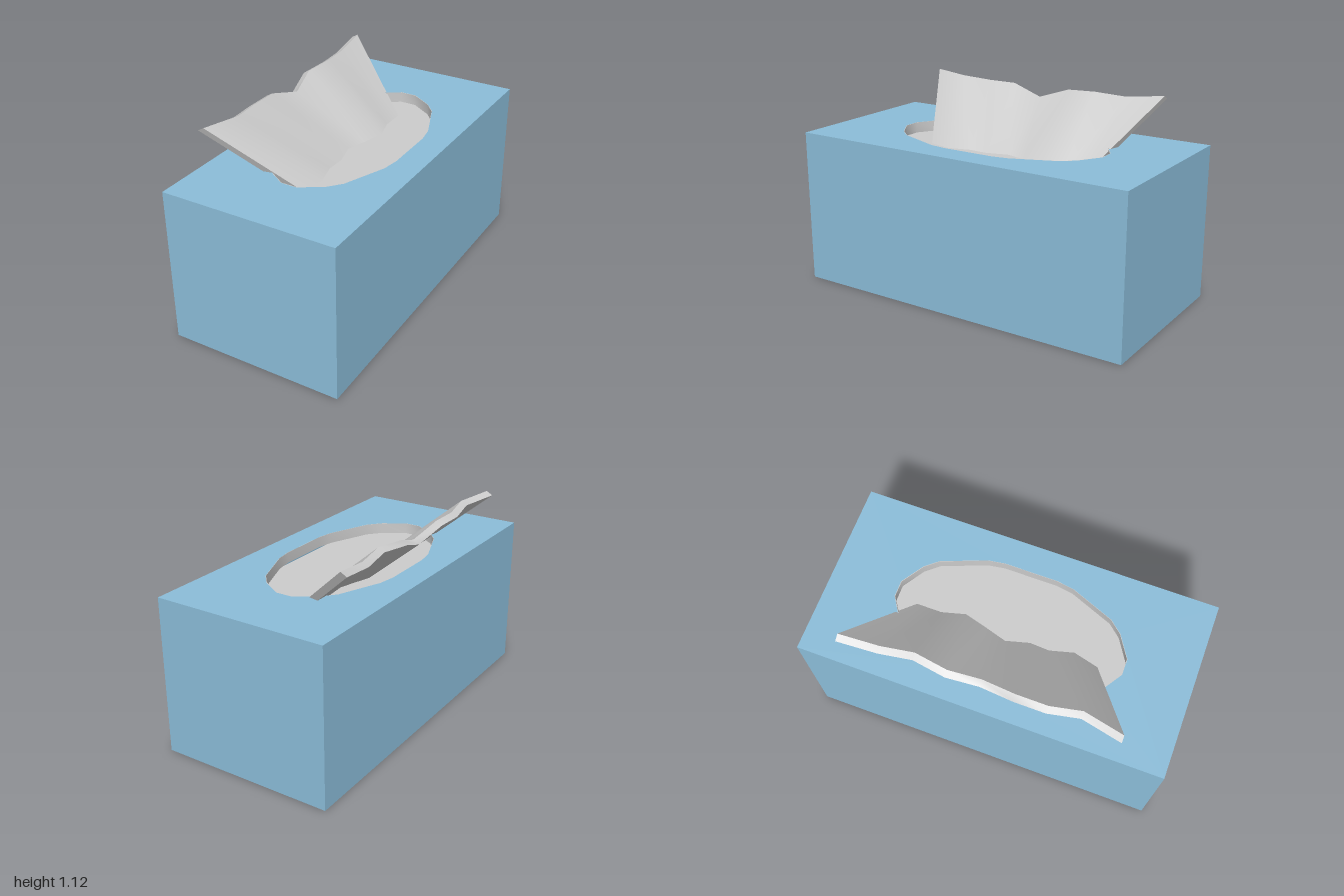
import * as THREE from 'three';
import { toCreasedNormals } from 'three/addons/utils/BufferGeometryUtils.js';

const W = 0.98, H = 0.87, D = 2;
const FLOOR = 0.77; // top of the stacked tissues

// One quarter of the oval opening as (x, z); mirrored into the full outline
const quarter = [[0.335, 0.15], [0.32, 0.245], [0.225, 0.485], [0.165, 0.555], [0.045, 0.632]];

function ovalPoints(scale) {
  const back = [...quarter].reverse();
  return [
    ...quarter,
    ...back.map(([x, z]) => [-x, z]),
    ...quarter.map(([x, z]) => [-x, -z]),
    ...back.map(([x, z]) => [x, -z]),
  ].map(([x, z]) => new THREE.Vector2(x * scale, z * scale));
}

// Pulled-up sheet: per column [top x, top y, top z, base x, base z]
const columns = [
  [-0.42, 1.12, 0.74, -0.015, 0.50],
  [-0.37, 1.11, 0.52, 0.02, 0.36],
  [-0.40, 1.095, 0.35, -0.015, 0.23],
  [-0.40, 1.095, 0.18, -0.01, 0.12],
  [-0.37, 1.04, -0.01, -0.045, -0.01],
  [-0.40, 1.095, -0.18, -0.01, -0.13],
  [-0.375, 1.107, -0.36, 0.025, -0.26],
  [-0.40, 1.095, -0.54, -0.01, -0.39],
  [-0.42, 1.12, -0.755, -0.01, -0.53],
];

function sheetGeometry() {
  const dx = -0.035, dy = -0.02; // thickness offset
  const loops = columns.map(([tx, ty, tz, bx, bz]) => [
    [tx, ty, tz], [bx, FLOOR, bz], [bx + dx, FLOOR + dy, bz], [tx + dx, ty + dy, tz],
  ]);
  const pos = [];
  const quad = (a, b, c, d) => pos.push(...a, ...b, ...c, ...a, ...c, ...d);
  for (let i = 0; i < loops.length - 1; i++) {
    const p = loops[i], q = loops[i + 1];
    for (let k = 0; k < 4; k++) {
      const n = (k + 1) % 4;
      quad(p[k], p[n], q[n], q[k]);
    }
  }
  const first = loops[0], last = loops[loops.length - 1];
  quad(first[0], first[3], first[2], first[1]);
  quad(last[0], last[1], last[2], last[3]);
  const geo = new THREE.BufferGeometry();
  geo.setAttribute('position', new THREE.Float32BufferAttribute(pos, 3));
  return toCreasedNormals(geo, Math.PI / 4);
}

export function createModel() {
  const group = new THREE.Group();
  group.name = 'tissueBox';
  const blue = new THREE.MeshStandardMaterial({ color: 0x8bbdd9, side: THREE.DoubleSide });
  const grey = new THREE.MeshStandardMaterial({ color: 0xcccccc });
  const add = (name, geo, mat) => {
    const mesh = new THREE.Mesh(geo, mat);
    mesh.name = name;
    group.add(mesh);
    return mesh;
  };

  // Carton: sides and bottom, with the top face left out
  const carton = new THREE.BoxGeometry(W, H, D);
  carton.setIndex([...carton.index.array].filter((_, i) => i < 12 || i >= 18));
  carton.clearGroups();
  carton.translate(0, H / 2, 0);
  add('carton', carton, blue);

  // Lid with the oval opening
  const lid = new THREE.Shape([
    new THREE.Vector2(-W / 2, -D / 2), new THREE.Vector2(W / 2, -D / 2),
    new THREE.Vector2(W / 2, D / 2), new THREE.Vector2(-W / 2, D / 2),
  ]);
  lid.holes.push(new THREE.Path(ovalPoints(1.005)));
  add('lid', new THREE.ShapeGeometry(lid).rotateX(-Math.PI / 2).translate(0, H, 0), blue);

  // Thin lining that hangs down inside the opening
  const ring = new THREE.Shape(ovalPoints(1.005));
  ring.holes.push(new THREE.Path(ovalPoints(1)));
  const rim = new THREE.ExtrudeGeometry(ring, { depth: 0.06, bevelEnabled: false });
  rim.rotateX(-Math.PI / 2).translate(0, H - 0.06, 0);
  add('openingRim', toCreasedNormals(rim, Math.PI / 4), grey);

  // Stack of tissues inside
  const stack = add('tissueStack', new THREE.BoxGeometry(0.78, FLOOR - 0.02, 1.8), grey);
  stack.position.y = 0.02 + (FLOOR - 0.02) / 2;

  // Sheet pulled out of the opening
  add('pulledTissue', sheetGeometry(), grey);
  return group;
}
